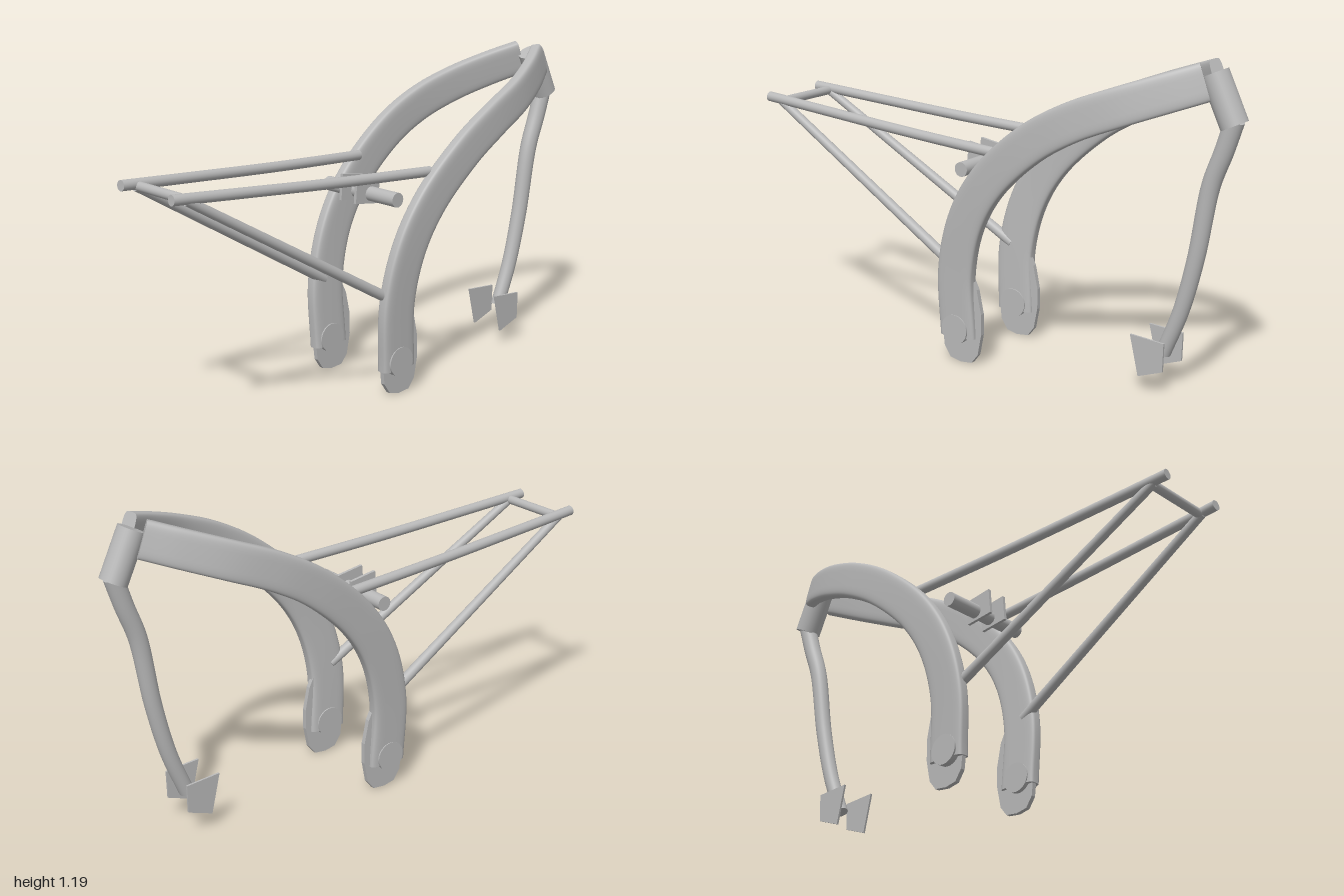
import * as THREE from 'three';

const V = (x, y, z) => new THREE.Vector3(x, y, z);

export function createModel() {
  const model = new THREE.Group();
  model.name = 'motorcycleFrame';
  const metal = new THREE.MeshStandardMaterial({ color: 0xb8b8b8 });
  metal.name = 'bareMetal';

  const add = (name, geometry) => {
    const mesh = new THREE.Mesh(geometry, metal);
    mesh.name = name;
    model.add(mesh);
    return mesh;
  };

  // straight round bar between two points
  const bar = (name, a, b, rA, rB = rA) => {
    const dir = b.clone().sub(a);
    const mesh = add(name, new THREE.CylinderGeometry(rB, rA, dir.length(), 32));
    mesh.position.copy(a).add(b).multiplyScalar(0.5);
    mesh.quaternion.setFromUnitVectors(V(0, 1, 0), dir.normalize());
  };

  // flat plate outlined in the side plane, centred on z
  const plate = (name, pts, z, depth) => {
    const shape = new THREE.Shape(pts.map(([x, y]) => new THREE.Vector2(x, y)));
    const geo = new THREE.ExtrudeGeometry(shape, { depth, bevelEnabled: false });
    geo.translate(0, 0, z - depth / 2);
    add(name, geo);
  };

  // closed sweep of a superellipse; half sizes and squareness vary from start to end
  const sweep = (name, points, w, h, power, steps = 64, sides = 40) => {
    const curve = new THREE.CatmullRomCurve3(points);
    const pos = [], index = [];
    const soft = (v) => Math.sign(v) * Math.abs(v) ** power;
    const ring = (t) => {
      const c = curve.getPointAt(t), T = curve.getTangentAt(t);
      const S = V(0, 0, 1).addScaledVector(T, -T.z).normalize();
      const N = T.clone().cross(S);
      const hw = THREE.MathUtils.lerp(w[0], w[1], t), hh = THREE.MathUtils.lerp(h[0], h[1], t);
      for (let j = 0; j < sides; j++) {
        const a = (j / sides) * Math.PI * 2;
        const p = c.clone().addScaledVector(S, soft(Math.cos(a)) * hw).addScaledVector(N, soft(Math.sin(a)) * hh);
        pos.push(p.x, p.y, p.z);
      }
      return c;
    };
    for (let i = 0; i <= steps; i++) ring(i / steps);
    for (let i = 0; i < steps; i++) {
      for (let j = 0; j < sides; j++) {
        const k = (j + 1) % sides;
        const a = i * sides + j, b = i * sides + k;
        index.push(a, b, a + sides, b, b + sides, a + sides);
      }
    }
    // end caps with their own vertices, so the rims stay sharp
    for (const t of [0, 1]) {
      const base = pos.length / 3;
      const c = ring(t);
      pos.push(c.x, c.y, c.z);
      for (let j = 0; j < sides; j++) {
        const k = (j + 1) % sides;
        index.push(base + sides, base + (t ? j : k), base + (t ? k : j));
      }
    }
    const geo = new THREE.BufferGeometry();
    geo.setAttribute('position', new THREE.Float32BufferAttribute(pos, 3));
    geo.setIndex(index);
    geo.computeVertexNormals();
    add(name, geo);
  };

  // steering head and front down tube
  bar('headTube', V(0.95, 0.98, 0), V(0.87, 1.15, 0), 0.05);
  sweep('downTube', [
    V(0.95, 1.0, 0), V(0.915, 0.89, 0), V(0.87, 0.765, 0),
    V(0.822, 0.5, 0), V(0.77, 0.3, 0), V(0.705, 0.135, 0),
  ], [0.033, 0.027], [0.035, 0.028], 1, 40, 32);

  for (const s of [1, -1]) {
    const side = s > 0 ? 'left' : 'right';

    // main perimeter rail
    sweep(side + 'MainRail', [
      V(-0.047, 0.1, 0.187 * s), V(-0.052, 0.35, 0.196 * s), V(0.0, 0.55, 0.205 * s),
      V(0.1, 0.71, 0.212 * s), V(0.28, 0.872, 0.216 * s), V(0.44, 0.965, 0.207 * s),
      V(0.6, 1.03, 0.176 * s), V(0.75, 1.085, 0.114 * s), V(0.862, 1.125, 0.05 * s),
    ], [0.027, 0.025], [0.077, 0.067], 0.45);

    // swingarm pivot plate and boss
    plate(side + 'PivotPlate', [
      [-0.08, 0.36], [-0.12, 0.12], [-0.112, 0.05], [-0.085, 0.01], [-0.04, 0.0], [0.01, 0.005],
      [0.038, 0.04], [0.054, 0.12], [0.054, 0.2], [0.035, 0.29], [0.0, 0.36],
    ], 0.185 * s, 0.018);
    bar(side + 'PivotBoss', V(-0.05, 0.13, 0.158 * s), V(-0.05, 0.13, 0.22 * s), 0.056);

    // rear subframe
    sweep(side + 'SeatRail', [
      V(-1, 0.883, 0.14 * s), V(-0.7, 0.862, 0.153 * s), V(-0.3, 0.835, 0.171 * s), V(0.115, 0.813, 0.19 * s),
    ], [0.019, 0.019], [0.019, 0.019], 1, 20, 24);
    bar(side + 'SeatStrut', V(-0.94, 0.872, 0.139 * s), V(-0.07, 0.363, 0.186 * s), 0.017, 0.02);

    // shock mount tab
    plate(side + 'ShockTab', [[-0.107, 0.8], [0.003, 0.782], [-0.003, 0.688], [-0.115, 0.703]], 0.039 * s, 0.012);

    // front engine mount plate
    plate(side + 'EngineMount', [[0.61, 0.205], [0.745, 0.195], [0.742, 0.09], [0.645, 0.055]], 0.069 * s, 0.008);
  }

  // cross members
  bar('rearCrossTube', V(-0.933, 0.872, -0.14), V(-0.933, 0.872, 0.14), 0.017);
  bar('shockCrossTube', V(-0.04, 0.73, -0.185), V(-0.04, 0.73, 0.185), 0.027);

  return model;
}
